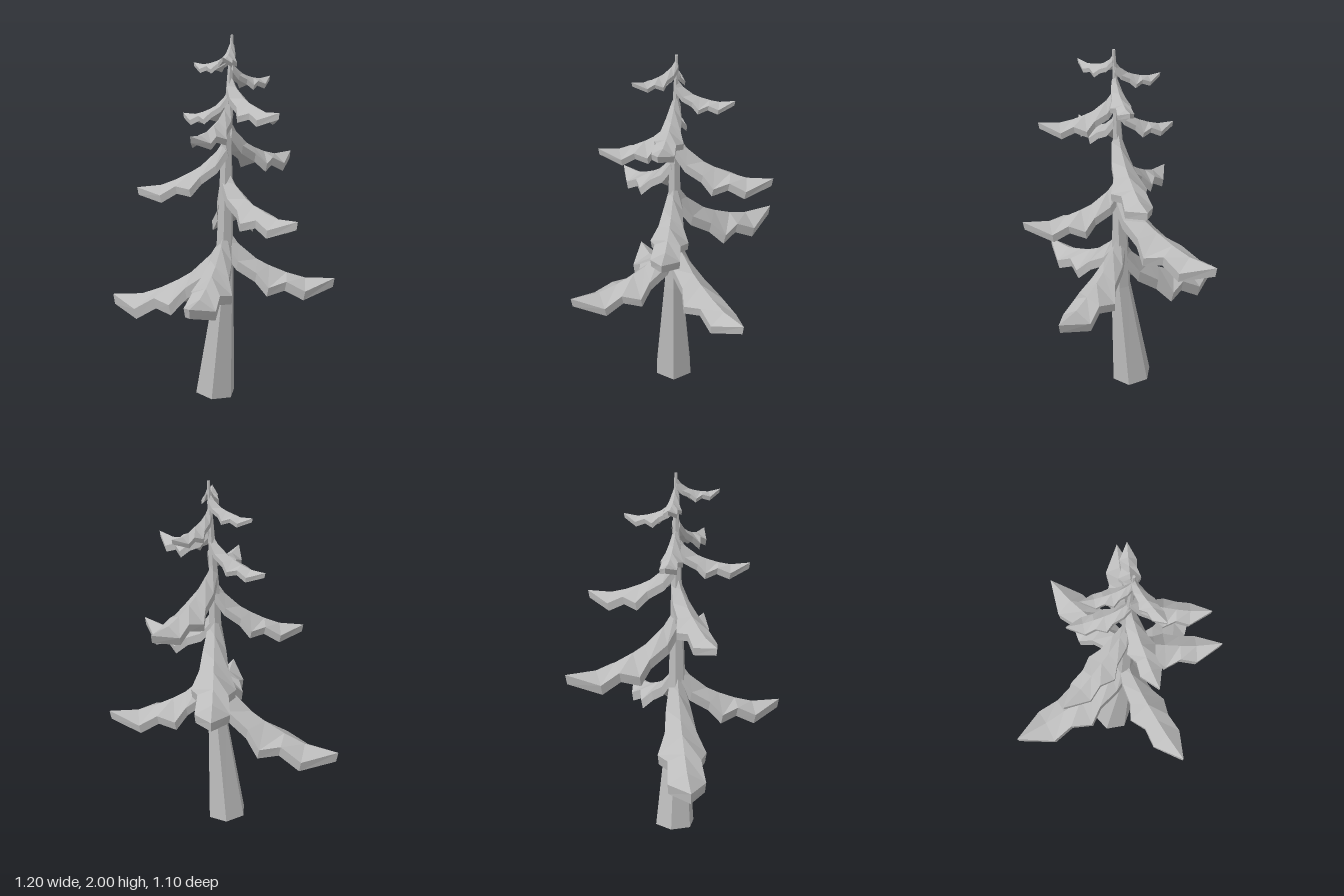
import * as THREE from 'three';

// Trunk sections: height, centre x, centre z, radius
const TRUNK = [
  [0, 0.004, -0.003, 0.114],
  [0.64, 0.068, -0.002, 0.056],
  [1.4, 0.078, -0.008, 0.031],
  [2, 0.104, -0.017, 0.008],
];

// Boughs: tip x, tip y, tip z, height where the ridge leaves the trunk
const BOUGHS = [
  [-0.6, 0.508, 0.195, 0.95],
  [0.297, 0.7, 0.548, 0.99],
  [0.552, 0.7, -0.36, 0.99],
  [-0.243, 0.965, -0.552, 1.29],
  [0.595, 1.1, 0.06, 1.31],
  [-0.312, 1.19, 0.275, 1.48],
  [0.13, 1.335, -0.517, 1.58],
  [0.16, 1.525, 0.378, 1.68],
  [-0.23, 1.57, -0.01, 1.73],
  [0.482, 1.638, 0.075, 1.8],
  [0.135, 1.772, -0.307, 1.88],
  [0.22, 1.905, 0.2, 1.98],
  [-0.152, 1.847, -0.01, 1.945],
];

// Bough sections as fractions of its length: along, ridge sag, half width, side drop
const SECTIONS = [
  [0, 0, 0.06, 0.15],
  [0.12, 0.115, 0.1, 0.14],
  [0.29, 0.175, 0.125, 0.1],
  [0.4, 0.178, 0.19, 0.16],
  [0.56, 0.165, 0.128, 0.055],
  [0.73, 0.13, 0.145, 0.09],
  [1, 0, 0, 0],
];
const THICKNESS = 0.085;

// Trunk centre at a height
function trunkCentre(y) {
  let i = 0;
  while (i < TRUNK.length - 2 && y > TRUNK[i + 1][0]) i++;
  const a = TRUNK[i], b = TRUNK[i + 1];
  const k = (y - a[0]) / (b[0] - a[0]);
  return [1, 2].map((n) => a[n] + (b[n] - a[n]) * k);
}

// Split faces so every facet is flat
function faceted(geometry) {
  const flat = geometry.toNonIndexed();
  flat.computeVertexNormals();
  return flat;
}

// Leaning, tapering six-sided trunk with a slightly slanted foot
function trunkGeometry() {
  const geo = new THREE.CylinderGeometry(1, 1, 3, 6, 3, false, Math.PI / 6);
  const p = geo.attributes.position;
  for (let i = 0; i < p.count; i++) {
    const level = Math.round(p.getY(i) + 1.5);
    const [h, cx, cz, r] = TRUNK[level];
    const x = cx + p.getX(i) * r;
    const y = level === 0 ? 0.0103 - 0.087 * x : h;
    p.setXYZ(i, x, y, cz + p.getZ(i) * r);
  }
  return faceted(geo);
}

// Ridged, sagging bough with a notched outline and a hollow underside
function boughGeometry([tx, ty, tz, rootY]) {
  const [cx, cz] = trunkCentre(rootY);
  const length = Math.hypot(tx - cx, tz - cz);
  const dx = (tx - cx) / length, dz = (tz - cz) / length;
  const points = [], index = [];
  const add = (along, side, y) =>
    points.push(cx + dx * along + dz * side, y, cz + dz * along - dx * side);

  for (const [t, sag, half, drop] of SECTIONS) {
    const ridge = rootY + (ty - rootY) * t - sag * length;
    const edge = ridge - drop * length;
    const w = half * length, thick = THICKNESS * length;
    const u = t * length, under = u - 0.015 * length;
    add(u, w, edge);
    add(u, 0, ridge);
    add(u, -w, edge);
    add(under, -w * 0.95, edge - thick);
    add(under, 0, ridge - thick);
    add(under, w * 0.95, edge - thick);
  }
  for (let i = 0; i < SECTIONS.length - 1; i++) {
    for (let j = 0; j < 6; j++) {
      const a = i * 6 + j, b = i * 6 + ((j + 1) % 6);
      index.push(a, b, a + 6, b, b + 6, a + 6);
    }
  }
  // Close the root end
  index.push(0, 4, 1, 0, 5, 4, 1, 3, 2, 1, 4, 3);

  const geo = new THREE.BufferGeometry();
  geo.setAttribute('position', new THREE.Float32BufferAttribute(points, 3));
  geo.setIndex(index);
  return faceted(geo);
}

export function createModel() {
  const tree = new THREE.Group();
  tree.name = 'coniferTree';
  const grey = new THREE.MeshStandardMaterial({ color: 0xbcbcbc });
  grey.name = 'plain grey';

  const trunk = new THREE.Mesh(trunkGeometry(), grey);
  trunk.name = 'trunk';
  tree.add(trunk);

  BOUGHS.forEach((spec, i) => {
    const bough = new THREE.Mesh(boughGeometry(spec), grey);
    bough.name = `bough${i + 1}`;
    tree.add(bough);
  });
  return tree;
}
